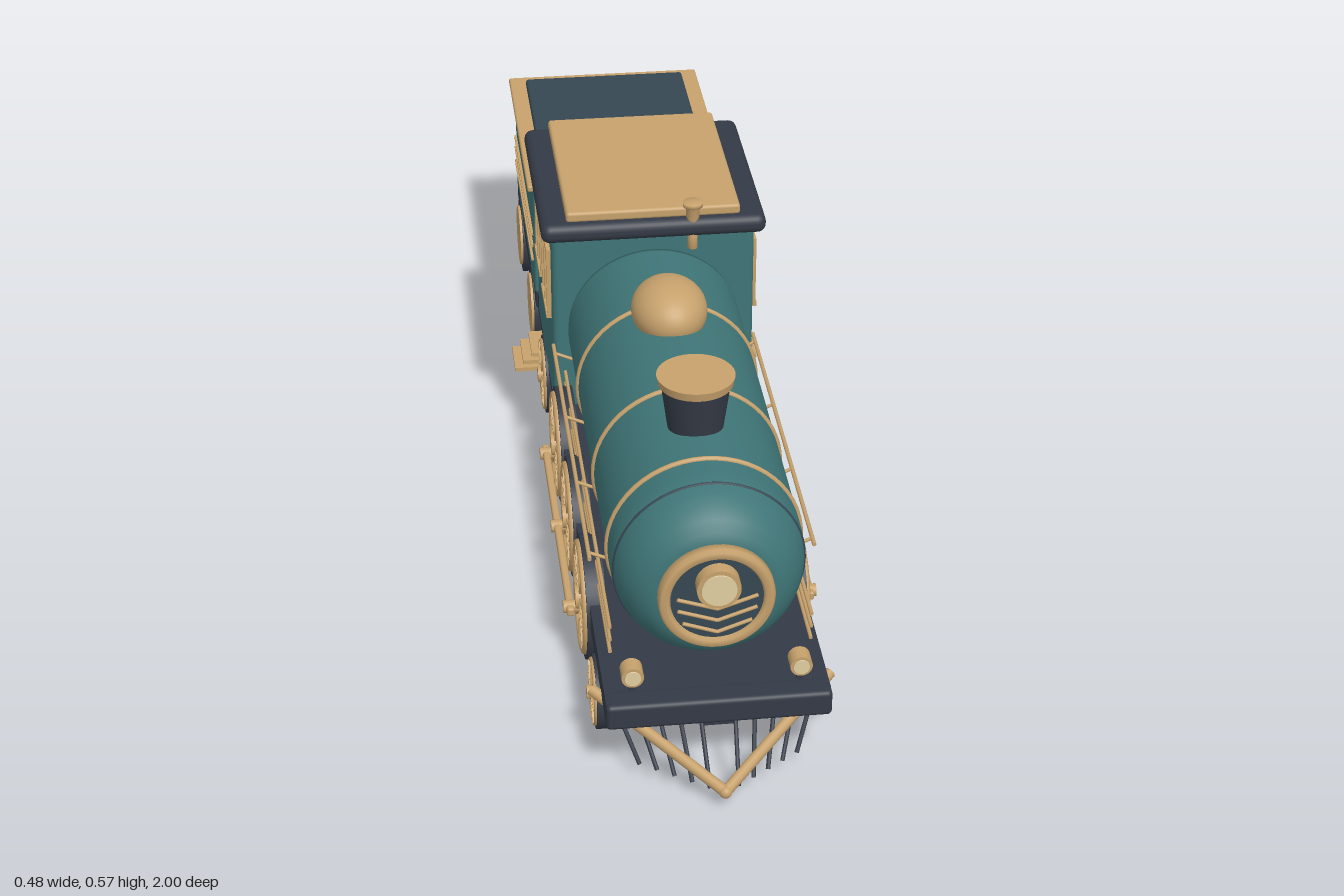
import * as THREE from 'three';
import { RoundedBoxGeometry } from 'three/addons/geometries/RoundedBoxGeometry.js';

const mat = (color) => new THREE.MeshStandardMaterial({ color });
const TEAL = mat(0x3f7577), BRASS = mat(0xc6a16c), DARK = mat(0x343a46);
const SLATE = mat(0x364753), CREAM = mat(0xe0cea2), AMBER = mat(0xdfa566);
const V = (x, y, z) => new THREE.Vector3(x, y, z);

export function createModel() {
  const root = new THREE.Group();
  root.name = 'steamLocomotive';

  const add = (name, geometry, material, x = 0, y = 0, z = 0, parent = root) => {
    const m = new THREE.Mesh(geometry, material);
    m.name = name;
    m.position.set(x, y, z);
    parent.add(m);
    return m;
  };
  // box given by its min / max extents, optionally rounded
  const box = (name, material, [x0, x1], [y0, y1], [z0, z1], r = 0) => {
    const s = [x1 - x0, y1 - y0, z1 - z0];
    const g = r ? new RoundedBoxGeometry(...s, 3, r) : new THREE.BoxGeometry(...s);
    return add(name, g, material, (x0 + x1) / 2, (y0 + y1) / 2, (z0 + z1) / 2);
  };
  const cylX = (r, len, seg = 40) => new THREE.CylinderGeometry(r, r, len, seg).rotateZ(Math.PI / 2);
  const cylZ = (r, len, seg = 40) => new THREE.CylinderGeometry(r, r, len, seg).rotateX(Math.PI / 2);
  // round bar between two points
  const rod = (name, material, a, b, r) => {
    const d = b.clone().sub(a);
    const m = add(name, new THREE.CylinderGeometry(r, r, d.length(), 10), material);
    m.position.copy(a).add(b).multiplyScalar(0.5);
    m.quaternion.setFromUnitVectors(V(0, 1, 0), d.normalize());
    return m;
  };

  // Frame
  box('locomotiveFrame', DARK, [-0.18, 0.18], [0.115, 0.157], [-0.44, 0.9]);
  box('bufferBeam', DARK, [-0.181, 0.181], [0.112, 0.158], [0.87, 0.915], 0.008);
  box('tenderFrame', DARK, [-0.184, 0.184], [0.115, 0.156], [-0.93, -0.44], 0.006);
  box('rearCoupler', DARK, [-0.024, 0.024], [0.103, 0.122], [-1, -0.9]);
  box('frontCoupler', DARK, [-0.025, 0.025], [0.099, 0.115], [0.85, 0.9]);

  // Boiler with a rounded front
  const profile = [[0, 0], [0.156, 0], [0.157, 0.01], [0.157, 0.74], [0.155, 0.765], [0.149, 0.79],
    [0.139, 0.812], [0.125, 0.831], [0.108, 0.845], [0.088, 0.853], [0, 0.853]];
  add('boiler', new THREE.LatheGeometry(profile.map(([r, y]) => new THREE.Vector2(r, y)), 56)
    .rotateX(Math.PI / 2), TEAL, 0, 0.32, 0);
  for (const z of [0.705, 0.485, 0.205])
    add('boilerBand', new THREE.TorusGeometry(0.157, 0.005, 8, 56), BRASS, 0, 0.32, z);
  add('boilerSeam', new THREE.TorusGeometry(0.153, 0.003, 6, 56), SLATE, 0, 0.32, 0.77);

  // Smokebox door, lamp and chevron bars
  add('doorRing', new THREE.LatheGeometry([[0.074, 0], [0.093, 0], [0.093, 0.02], [0.089, 0.026],
    [0.078, 0.026], [0.074, 0.02], [0.074, 0]].map(([r, y]) => new THREE.Vector2(r, y)), 48)
    .rotateX(Math.PI / 2), BRASS, 0, 0.32, 0.845);
  add('smokeboxDoor', cylZ(0.075, 0.02), SLATE, 0, 0.32, 0.855);
  add('lampRim', cylZ(0.035, 0.03), BRASS, 0, 0.352, 0.873);
  add('lampLens', cylZ(0.028, 0.006), CREAM, 0, 0.352, 0.888);
  [[0.064, 0.327, 0.305], [0.063, 0.305, 0.283], [0.055, 0.281, 0.261]].forEach(([w, ye, yc]) => {
    for (const s of [-1, 1])
      rod('doorChevron', BRASS, V(s * w, ye, 0.872), V(0, yc, 0.872), 0.0032);
  });

  // Chimney
  add('chimney', new THREE.CylinderGeometry(0.057, 0.044, 0.095, 40), DARK, 0, 0.504, 0.59);
  add('chimneyCap', new THREE.CylinderGeometry(0.064, 0.061, 0.015, 40), BRASS, 0, 0.558, 0.59);
  // Steam dome
  add('steamDome', new THREE.SphereGeometry(1, 36, 20), BRASS, 0, 0.485, 0.235).scale.set(0.066, 0.055, 0.082);
  // Whistle
  const whistle = [[0, 0.475], [0.009, 0.48], [0.009, 0.505], [0.006, 0.515], [0.006, 0.53], [0.012, 0.543],
    [0.012, 0.563], [0.018, 0.564], [0.018, 0.572], [0, 0.572]];
  add('whistle', new THREE.LatheGeometry(whistle.map(([r, y]) => new THREE.Vector2(r, y)), 20), BRASS, 0.07, 0, 0.008);

  // Cab
  box('cab', TEAL, [-0.184, 0.184], [0.15, 0.515], [-0.37, 0], 0.012);
  box('cabRoof', DARK, [-0.203, 0.203], [0.504, 0.54], [-0.392, 0.02], 0.016);
  box('roofPanel', BRASS, [-0.157, 0.157], [0.538, 0.558], [-0.385, 0.002], 0.006);

  // Tender
  box('tenderBody', TEAL, [-0.185, 0.185], [0.15, 0.385], [-0.92, -0.44], 0.006);
  box('tenderRim', BRASS, [-0.196, 0.196], [0.38, 0.393], [-0.934, -0.432], 0.004);
  box('coalLoad', SLATE, [-0.163, 0.163], [0.385, 0.405], [-0.9, -0.468], 0.006);

  // Spoked wheel: dark tyre, brass ring, spokes and hub on the outer face
  const spokedWheel = (name, s, r, y, z, spokes) => {
    const g = new THREE.Group();
    g.name = name;
    g.position.set(s * 0.169, y, z);
    root.add(g);
    add('tyre', cylX(r, 0.032), DARK, 0, 0, 0, g);
    add('ring', new THREE.TorusGeometry(r * 0.86, r * 0.06, 8, 40).rotateY(Math.PI / 2), BRASS, s * 0.017, 0, 0, g);
    add('wheelFace', cylX(r * 0.82, 0.004), SLATE, s * 0.016, 0, 0, g);
    for (let i = 0; i < spokes; i++) {
      const sp = new THREE.BoxGeometry(0.006, r * 0.84, r * 0.045).translate(0, r * 0.42, 0);
      add('spoke', sp, BRASS, s * 0.019, 0, 0, g).rotation.x = (i / spokes) * Math.PI * 2;
    }
    add('hub', cylX(r * 0.19, 0.014, 24), BRASS, s * 0.021, 0, 0, g);
  };

  for (const s of [-1, 1]) {
    const span = (a, b) => (s > 0 ? [a, b] : [-b, -a]);

    // Wheels
    const drivers = [0.54, 0.295, 0.055];
    for (const z of drivers) {
      spokedWheel('drivingWheel', s, 0.107, 0.109, z, 10);
      add('crankPin', cylX(0.011, 0.034, 20), BRASS, s * 0.2, 0.09, z);
    }
    spokedWheel('leadingWheel', s, 0.062, 0.064, 0.745, 8);
    spokedWheel('trailingWheel', s, 0.076, 0.078, -0.25, 10);
    for (const z of [-0.53, -0.825]) {
      add('tenderWheel', cylX(0.077, 0.034), DARK, s * 0.169, 0.078, z);
      add('tenderWheelFace', cylX(0.062, 0.01), BRASS, s * 0.186, 0.078, z);
    }
    // Coupling rod
    box('couplingRod', BRASS, span(0.199, 0.212), [0.082, 0.098], [0.035, 0.56], 0.004);

    // Running-board rails and boiler handrail
    for (const y of [0.183, 0.206, 0.23])
      rod('sideRail', BRASS, V(s * 0.163, y, 0), V(s * 0.163, y, 0.8), 0.0032);
    rod('handrail', BRASS, V(s * 0.184, 0.288, 0), V(s * 0.184, 0.288, 0.69), 0.0035);
    for (const z of [0.03, 0.25, 0.46, 0.67])
      rod('handrailPost', BRASS, V(s * 0.148, 0.272, z), V(s * 0.184, 0.288, z), 0.003);

    // Front marker lamps
    add('markerLamp', cylZ(0.018, 0.03, 28), BRASS, s * 0.135, 0.187, 0.865);
    add('markerLens', cylZ(0.013, 0.005, 28), CREAM, s * 0.135, 0.187, 0.88);
    box('markerStand', DARK, [s * 0.135 - 0.006, s * 0.135 + 0.006], [0.155, 0.172], [0.858, 0.872]);

    // Cab windows: frame, two panes split by a mullion
    for (const [z0, z1] of [[-0.142, -0.027], [-0.297, -0.182]]) {
      const zm = (z0 + z1) / 2;
      box('windowPane', AMBER, span(0.18, 0.187), [0.335, 0.465], [z0 + 0.005, z1 - 0.005]);
      box('windowSill', BRASS, span(0.18, 0.194), [0.33, 0.34], [z0, z1]);
      box('windowHead', BRASS, span(0.18, 0.192), [0.46, 0.47], [z0, z1]);
      for (const z of [z0 + 0.005, zm, z1 - 0.005])
        box('windowPost', BRASS, span(0.18, 0.192), [0.335, 0.465], [z - 0.005, z + 0.005]);
    }
    // Cab steps, wider towards the ground
    [[0.098, 0.205], [0.082, 0.222], [0.066, 0.238]].forEach(([y, x]) =>
      box('cabStep', BRASS, span(0.16, x), [y - 0.004, y + 0.004], [-0.375, -0.29]));
    box('stepBracket', DARK, span(0.162, 0.174), [0.062, 0.12], [-0.36, -0.305]);

    // Tender stripes
    for (const y of [0.217, 0.247, 0.273])
      box('tenderStripe', BRASS, span(0.184, 0.19), [y - 0.003, y + 0.003], [-0.9, -0.46]);

    // Cowcatcher: brass V bar and dark tines
    rod('cowcatcherBar', BRASS, V(s * 0.195, 0.118, 0.81), V(0, 0.034, 0.988), 0.0095);
    for (let i = 0; i < 5; i++) {
      const top = 0.028 + i * 0.0335, low = 0.023 + i * 0.026;
      rod('cowcatcherTine', DARK, V(s * top, 0.116, 0.89 - i * 0.01), V(s * low, 0.033, 0.975 - i * 0.018), 0.0036);
    }
  }
  add('cowcatcherTip', new THREE.SphereGeometry(0.0105, 16, 12), BRASS, 0, 0.034, 0.9885);
  return root;
}
